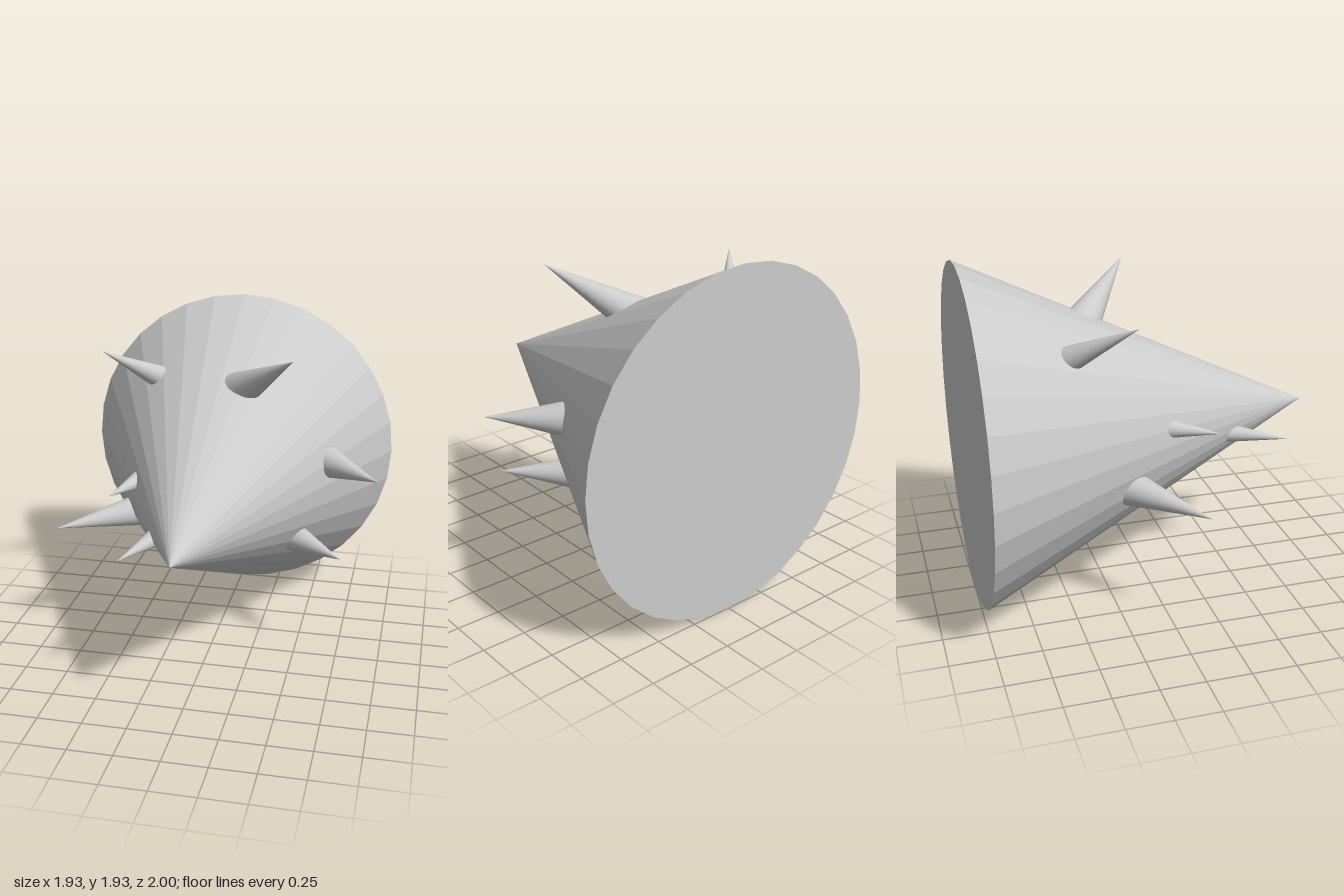
import * as THREE from 'three';

// Each spike: tip, centre of its root near the body surface, radius there
const SPIKES = [
  ['upperLeftSpike', [0.455, 1.79, 0.025], [0.13, 1.54, -0.28], 0.1],
  ['upperRightSpike', [-0.69, 1.735, -0.195], [-0.43, 1.52, -0.485], 0.069],
  ['leftSpike', [0.94, 1.085, -0.1], [0.64, 1.085, -0.37], 0.089],
  ['lowerLeftSpike', [0.76, 0.66, 0.055], [0.47, 0.66, -0.2], 0.082],
  ['smallRightSpike', [-0.522, 1.04, 0.312], [-0.42, 1.055, 0.08], 0.048],
  ['smallFrontSpike', [-0.338, 0.874, 0.783], [-0.216, 0.893, 0.5], 0.049],
  ['lowerRightSpike', [-0.903, 0.74, 0.138], [-0.508, 0.765, -0.17], 0.092],
];
const SINK = 1.18; // lengthens each spike so its base is buried in the body

function makeSpike([name, tipPos, rootPos, radius], material) {
  const tip = new THREE.Vector3(...tipPos);
  const axis = tip.clone().sub(new THREE.Vector3(...rootPos));
  const length = axis.length() * SINK;
  axis.normalize();
  const geometry = new THREE.ConeGeometry(radius * SINK, length, 32);
  geometry.translate(0, -length / 2, 0); // tip at the local origin
  const spike = new THREE.Mesh(geometry, material);
  spike.name = name;
  spike.quaternion.setFromUnitVectors(new THREE.Vector3(0, 1, 0), axis);
  spike.position.copy(tip);
  return spike;
}

export function createModel() {
  const group = new THREE.Group();
  group.name = 'spikedCone';

  // Large faceted body, lying with its point to the front
  const body = new THREE.Mesh(
    new THREE.ConeGeometry(0.967, 2, 32).rotateX(Math.PI / 2),
    new THREE.MeshStandardMaterial({ color: 0xcccccc, flatShading: true })
  );
  body.name = 'body';
  body.position.y = 0.97;
  group.add(body);

  // Smooth spikes scattered over the body
  const smooth = new THREE.MeshStandardMaterial({ color: 0xcccccc });
  for (const spec of SPIKES) group.add(makeSpike(spec, smooth));

  return group;
}
